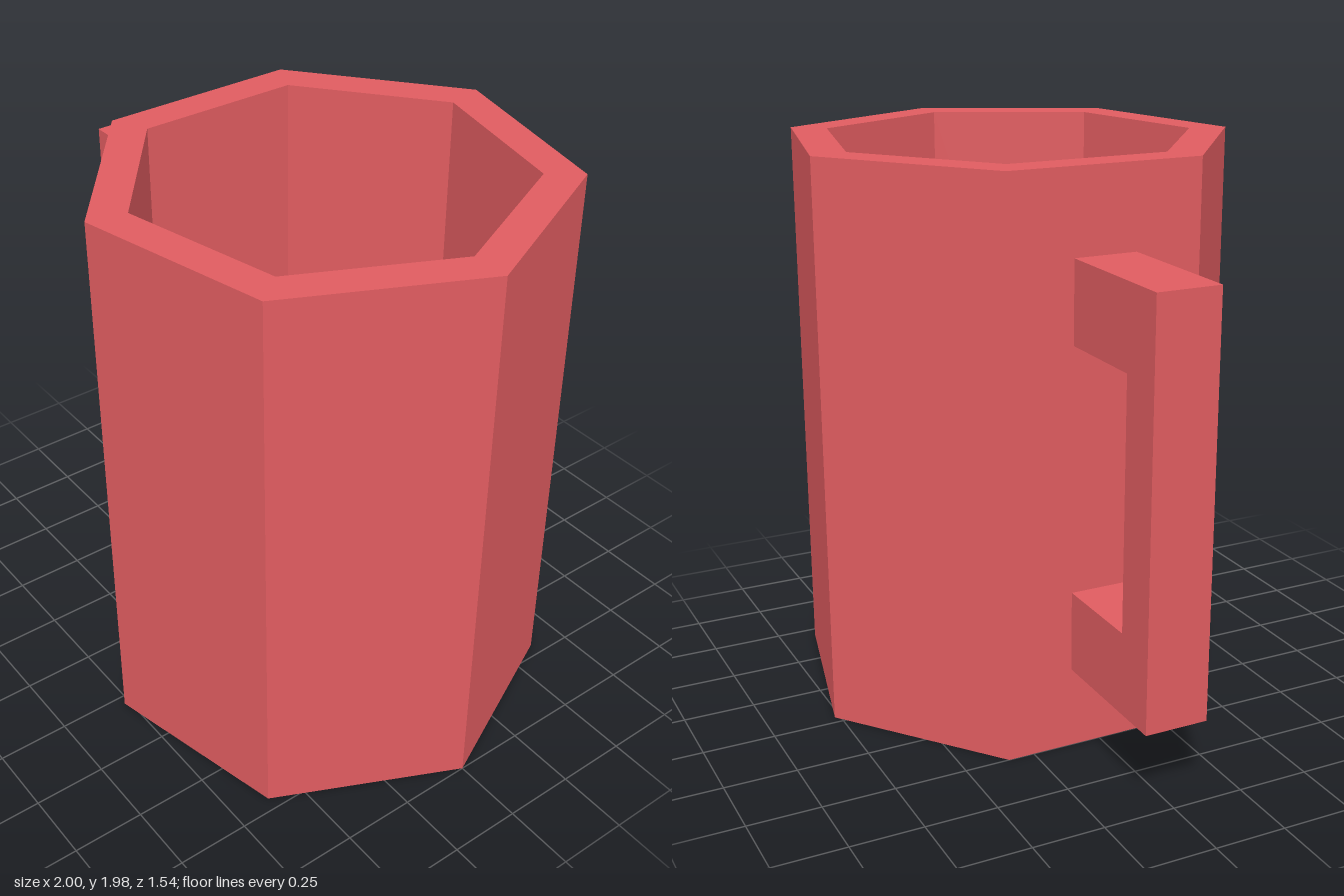
import * as THREE from 'three';

const HEIGHT = 1.975;
const CENTRE_X = 0.211;

export function createModel() {
  const group = new THREE.Group();
  group.name = 'mug';
  const material = new THREE.MeshStandardMaterial({ color: 0xe05c60, flatShading: true });

  // Seven-sided cup: underside, outer wall, rim, inner wall, slightly raised inner floor
  const profile = [
    [0, 0], [0.789, 0], [0.789, HEIGHT], [0.655, HEIGHT],
    [0.655, 0.12], [0.392, 0.2], [0, 0.2],
  ].map(([r, y]) => new THREE.Vector2(r, y));
  const cup = new THREE.Mesh(new THREE.LatheGeometry(profile, 7, Math.PI / 2), material);
  cup.name = 'cup';
  cup.position.x = CENTRE_X;
  group.add(cup);

  // Square C-shaped handle running into the flat side of the cup
  const outline = [
    [-0.5, 0.285], [-0.5, 0.565], [-0.84, 0.565], [-0.84, 1.41],
    [-0.5, 1.41], [-0.5, 1.69], [-1, 1.69], [-1, 0.285],
  ].map(([x, y]) => new THREE.Vector2(x, y));
  const handleGeometry = new THREE.ExtrudeGeometry(new THREE.Shape(outline), {
    depth: 0.22, bevelEnabled: false,
  });
  handleGeometry.translate(0, 0, -0.11);
  const handle = new THREE.Mesh(handleGeometry, material);
  handle.name = 'handle';
  group.add(handle);

  return group;
}
